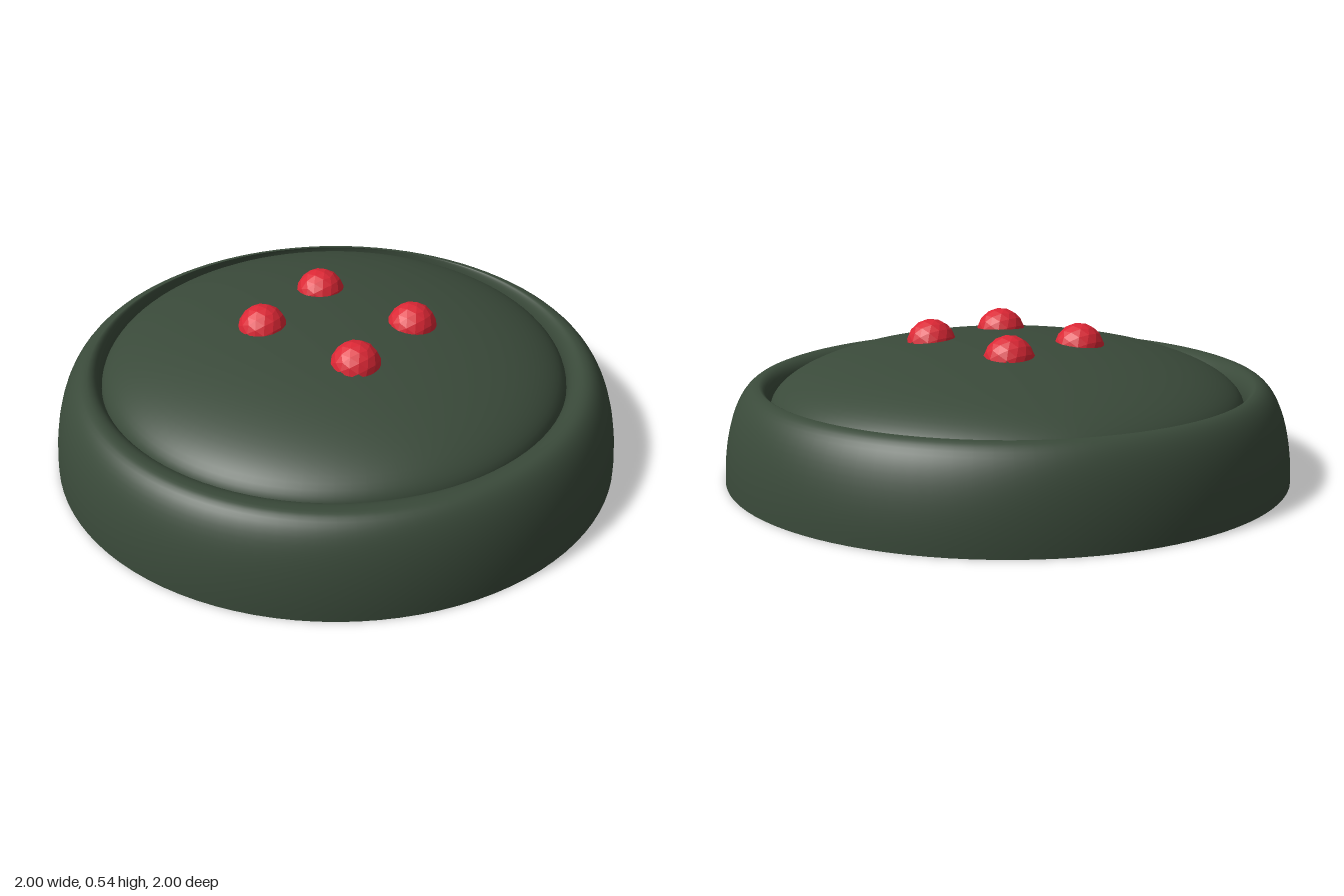
import * as THREE from 'three';

const SEG = 96;
const DOME = { x: -0.037, z: -0.037, y: 0.26, r: 0.828, h: 0.226 };
const RIM = { top: 0.335, r: 0.875 };

// Open shell through circular sections, listed from the outer foot inwards.
function loftRings(rings) {
  const pos = [], index = [];
  rings.forEach(({ r, y, x, z }, j) => {
    for (let i = 0; i < SEG; i++) {
      const a = (i / SEG) * Math.PI * 2;
      pos.push(x + r * Math.cos(a), y, z + r * Math.sin(a));
      if (j === 0) continue;
      const n = (i + 1) % SEG, lo = (j - 1) * SEG, hi = j * SEG;
      index.push(lo + i, hi + i, lo + n, lo + n, hi + i, hi + n);
    }
  });
  const geo = new THREE.BufferGeometry();
  geo.setAttribute('position', new THREE.Float32BufferAttribute(pos, 3));
  geo.setIndex(index);
  geo.computeVertexNormals();
  return geo;
}

// Faceted half ball, open underneath.
function halfBall(radius) {
  const p = new THREE.IcosahedronGeometry(radius, 2).toNonIndexed
    ? new THREE.IcosahedronGeometry(radius, 2).attributes.position : null;
  const pos = [];
  for (let i = 0; i < p.count; i += 3) {
    if (p.getY(i) + p.getY(i + 1) + p.getY(i + 2) <= 0) continue;
    for (let k = i; k < i + 3; k++) pos.push(p.getX(k), Math.max(0, p.getY(k)), p.getZ(k));
  }
  const geo = new THREE.BufferGeometry();
  geo.setAttribute('position', new THREE.Float32BufferAttribute(pos, 3));
  geo.computeVertexNormals();
  return geo;
}

export function createModel() {
  const group = new THREE.Group();
  const green = new THREE.MeshStandardMaterial({ color: 0x3a4a3a, side: THREE.DoubleSide });
  const red = new THREE.MeshStandardMaterial({ color: 0xdc2735, side: THREE.DoubleSide, flatShading: true });

  const add = (name, geo, mat) => {
    const mesh = new THREE.Mesh(geo, mat);
    mesh.name = name;
    group.add(mesh);
    return mesh;
  };

  // Rim: rounded outer wall, then an inner lip that drops to the off-centre dome edge
  const rings = [];
  for (let i = 0; i <= 16; i++) {
    const a = (i / 16) * Math.PI / 2;
    rings.push({ r: RIM.r + (1 - RIM.r) * Math.cos(a), y: RIM.top * Math.sin(a), x: 0, z: 0 });
  }
  for (let i = 1; i <= 10; i++) {
    const a = (i / 10) * Math.PI / 2, t = Math.sin(a);
    rings.push({
      r: THREE.MathUtils.lerp(RIM.r, DOME.r, t),
      y: DOME.y + (RIM.top - DOME.y) * Math.cos(a),
      x: DOME.x * t,
      z: DOME.z * t,
    });
  }
  add('rim', loftRings(rings), green);

  // Dome: flattened hemisphere inside the rim
  const domeGeo = new THREE.SphereGeometry(1, SEG, 24, 0, Math.PI * 2, 0, Math.PI / 2);
  domeGeo.scale(DOME.r, DOME.h, DOME.r);
  add('dome', domeGeo, green).position.set(DOME.x, DOME.y, DOME.z);

  // Four studs on the dome
  const studGeo = halfBall(0.088);
  for (const x of [-0.22, 0.187]) {
    for (const z of [-0.195, 0.135]) {
      add('stud', studGeo, red).position.set(x, 0.456, z);
    }
  }
  return group;
}
